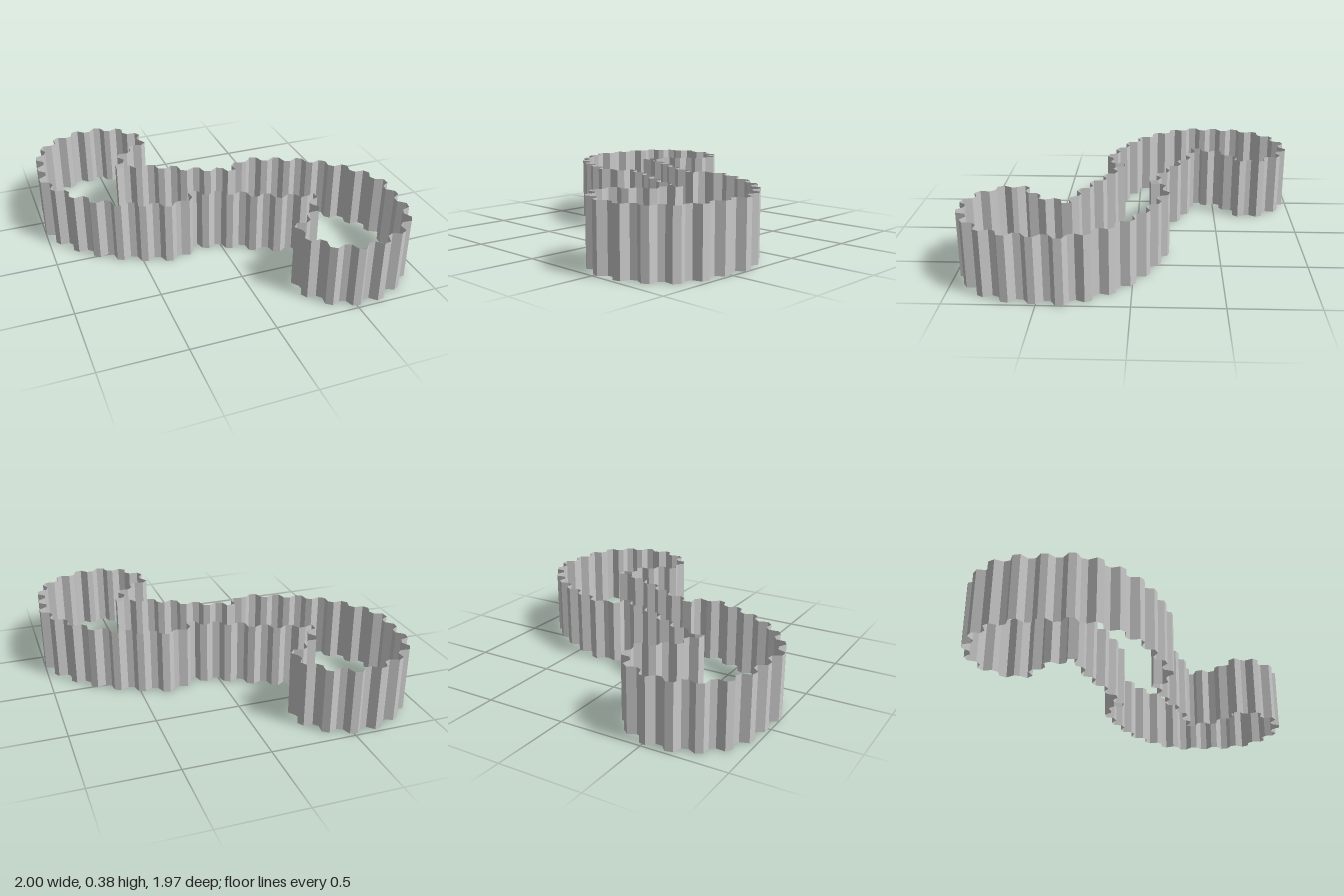
import * as THREE from 'three';

const HEIGHT = 0.385;
const PERIOD = 0.145; // length of one corrugation along the wall
const DEPTH = 0.022; // offset of the flats to either side of the centre line

// One corrugation: [fraction of the period, side]
const PROFILE = [[0, 1], [0.28, 1], [0.5, -1], [0.78, -1]];

// Half of the S-shaped plan as [across, along] a diagonal axis;
// the other half is the same turned by 180 degrees.
const HALF = [
  [-0.20, -0.58], [-0.12, -0.64], [-0.04, -0.69], [0.19, -0.71], [0.22, -0.92],
  [0.14, -1.07], [0.01, -1.155], [-0.21, -1.18], [-0.37, -1.11], [-0.50, -0.965],
  [-0.60, -0.84], [-0.625, -0.70], [-0.60, -0.45], [-0.49, -0.21], [-0.32, 0.00],
  [-0.19, -0.01], [-0.13, 0.07], [-0.05, 0.19], [0.02, 0.34], [0.12, 0.50],
];
const AXIS = THREE.MathUtils.degToRad(35);

// Smooth closed centre line
function planCurve() {
  const s = Math.sin(AXIS), c = Math.cos(AXIS);
  const half = HALF.map(([v, d]) => new THREE.Vector3(d * s + v * c, 0, d * c - v * s));
  const curve = new THREE.CatmullRomCurve3(
    [...half, ...half.map((p) => p.clone().negate())], true);
  curve.arcLengthDivisions = 2000;
  return curve;
}

// Trapezoid corrugation laid along the curve, an even number of periods
function corrugate(curve) {
  const count = 2 * Math.round(curve.getLength() / PERIOD / 2);
  const points = [];
  for (let i = 0; i < count; i++) {
    for (const [fraction, side] of PROFILE) {
      const u = (i + fraction) / count;
      const t = curve.getTangentAt(u);
      points.push(curve.getPointAt(u).add(new THREE.Vector3(t.z, 0, -t.x).multiplyScalar(side * DEPTH)));
    }
  }
  return points;
}

// Open vertical wall along a closed outline
function wallGeometry(outline, height) {
  const pos = [];
  outline.forEach((a, i) => {
    const b = outline[(i + 1) % outline.length];
    pos.push(a.x, 0, a.z, b.x, 0, b.z, b.x, height, b.z);
    pos.push(a.x, 0, a.z, b.x, height, b.z, a.x, height, a.z);
  });
  const geo = new THREE.BufferGeometry();
  geo.setAttribute('position', new THREE.Float32BufferAttribute(pos, 3));
  geo.computeVertexNormals();
  return geo;
}

export function createModel() {
  const group = new THREE.Group();
  group.name = 'curvedWall';
  const material = new THREE.MeshStandardMaterial({
    color: 0xcccccc, flatShading: true, side: THREE.DoubleSide,
  });
  const wall = new THREE.Mesh(wallGeometry(corrugate(planCurve()), HEIGHT), material);
  wall.name = 'corrugatedWall';
  group.add(wall);
  return group;
}
